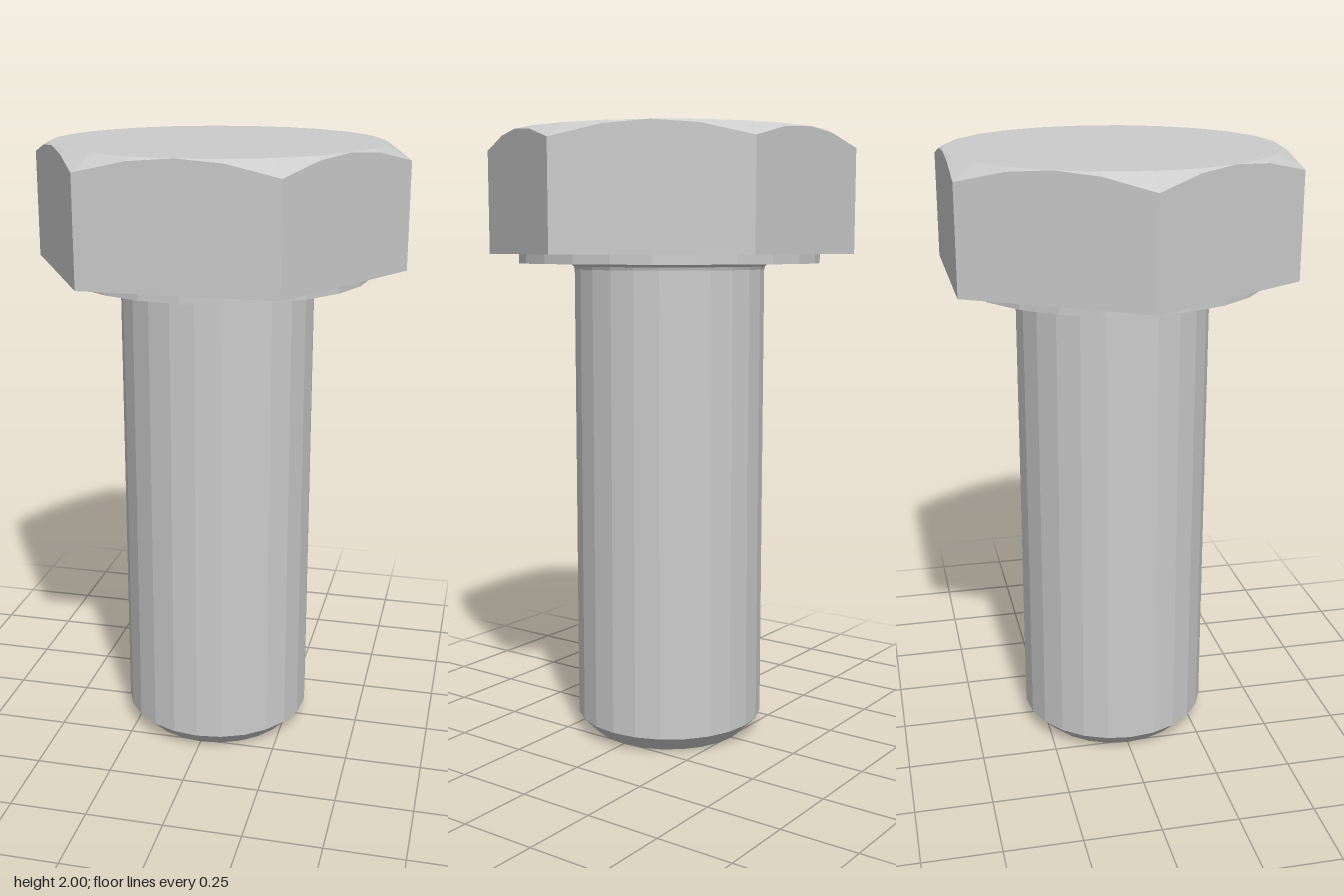
import * as THREE from 'three';

const SIDES = 24;
const APOTHEM = 0.525; // half the width across the flats
const HEAD_BOTTOM = 1.615;
const TOP = 2;

const material = new THREE.MeshStandardMaterial({ color: 0xcccccc, flatShading: true });

// Turned solid from [radius, y] pairs listed from bottom to top
function turned(profile) {
  return new THREE.LatheGeometry(profile.map(([r, y]) => new THREE.Vector2(r, y)), SIDES);
}

function part(name, geometry) {
  const flat = geometry.toNonIndexed();
  flat.computeVertexNormals();
  const mesh = new THREE.Mesh(flat, material);
  mesh.name = name;
  return mesh;
}

// Hexagonal head: a turned disc whose wall is pushed out to the hexagon,
// with the upper rim following a 30 degree chamfer cone
function hexHead() {
  const geometry = turned([
    [0, HEAD_BOTTOM], [APOTHEM, HEAD_BOTTOM], [APOTHEM, TOP], [APOTHEM, TOP], [0, TOP],
  ]);
  const pos = geometry.attributes.position;
  const rows = 5;
  for (let i = 0; i <= SIDES; i++) {
    const phi = (i / SIDES) * 360;
    const offset = THREE.MathUtils.degToRad(((phi + 30) % 60) - 30);
    const r = APOTHEM / Math.cos(offset);
    const a = THREE.MathUtils.degToRad(phi);
    const rimY = TOP - (r - APOTHEM) * Math.tan(Math.PI / 6);
    pos.setXYZ(i * rows + 1, r * Math.sin(a), HEAD_BOTTOM, r * Math.cos(a));
    pos.setXYZ(i * rows + 2, r * Math.sin(a), rimY, r * Math.cos(a));
  }
  return geometry;
}

export function createModel() {
  const bolt = new THREE.Group();
  bolt.name = 'hexBolt';

  bolt.add(part('head', hexHead()));

  // Thin round bearing face under the head
  bolt.add(part('washerFace', turned([[0, 1.585], [0.495, 1.585], [0.495, HEAD_BOTTOM]])));

  // Shank with chamfered tip and a small fillet under the head
  bolt.add(part('shank', turned([
    [0, 0], [0.26, 0], [0.314, 0.055], [0.314, 1.565],
    [0.317, 1.575], [0.325, 1.582], [0.337, 1.585],
  ])));

  return bolt;
}
